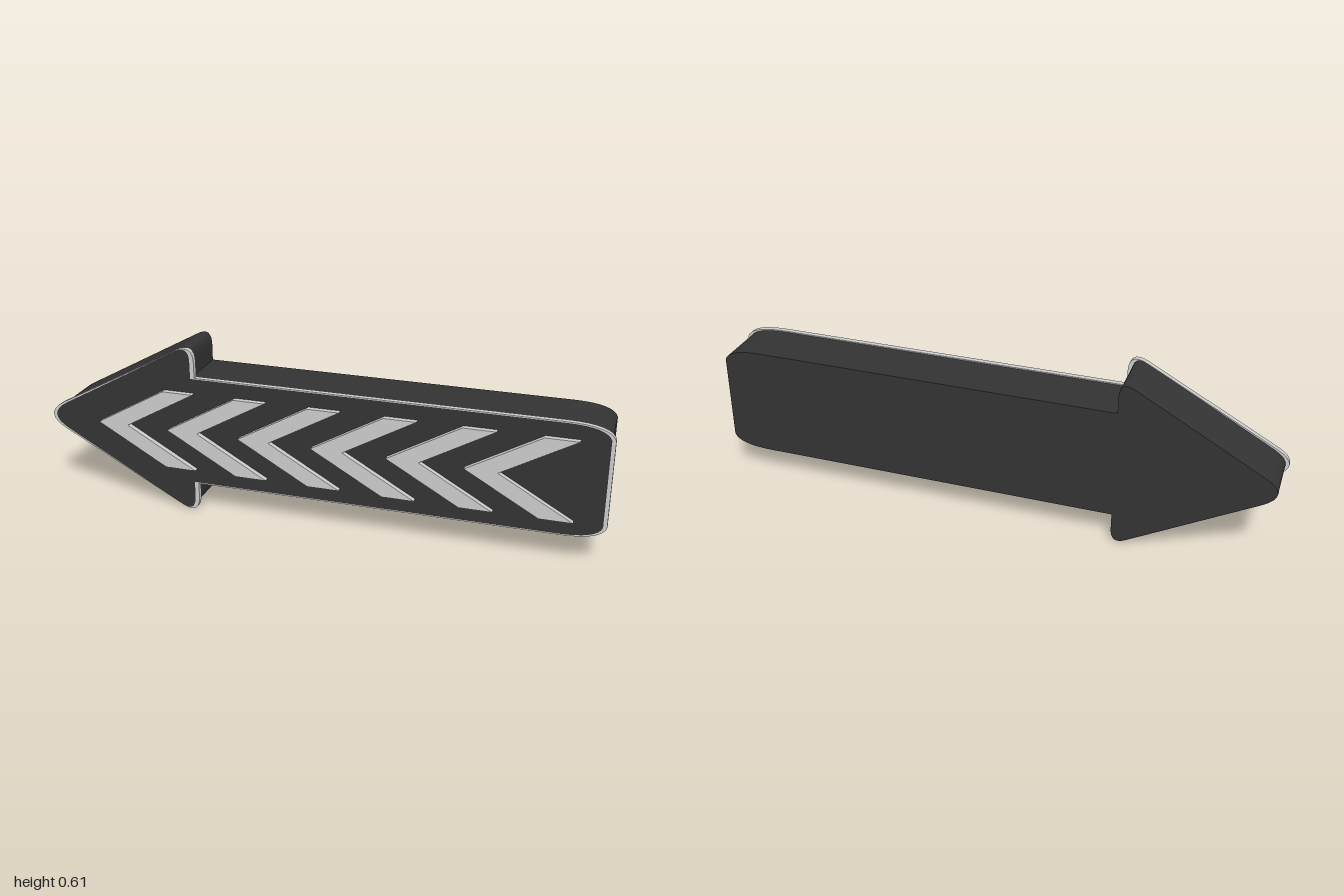
import * as THREE from 'three';

const MID = 0.305; // height of the arrow's axis

// Arrow outline pointing to -x, symmetric about its axis; ix and iy pull it inward
function outline(target, ix, iy) {
  const shaft = 0.202 - iy, end = 1 - ix, notch = -0.436 - ix * 1.15;
  const up = (y) => MID + y, dn = (y) => MID - y;
  const tipX = -0.955 + ix, tipY = 0.051;
  const headX = -0.5 - ix * 0.5, headY = 0.296 - iy;
  target.moveTo(tipX, up(tipY));
  target.quadraticCurveTo(-1.045 + ix, MID, tipX, dn(tipY));
  target.lineTo(headX, dn(headY));
  target.quadraticCurveTo(notch, dn(headY + 0.032), notch, dn(0.255));
  target.lineTo(notch, dn(shaft));
  target.lineTo(0.84, dn(shaft));
  target.quadraticCurveTo(end - 0.015, dn(shaft), end, dn(0.155));
  target.lineTo(end, up(0.155));
  target.quadraticCurveTo(end - 0.015, up(shaft), 0.84, up(shaft));
  target.lineTo(notch, up(shaft));
  target.lineTo(notch, up(0.255));
  target.quadraticCurveTo(notch, up(headY + 0.032), headX, up(headY));
  target.closePath();
  return target;
}

function extrude(name, shape, z0, z1, material) {
  const geometry = new THREE.ExtrudeGeometry(shape, {
    depth: z1 - z0, bevelEnabled: false, curveSegments: 8,
  });
  geometry.translate(0, 0, z0);
  const mesh = new THREE.Mesh(geometry, material);
  mesh.name = name;
  return mesh;
}

export function createModel() {
  const group = new THREE.Group();
  group.name = 'arrowSign';
  const dark = new THREE.MeshStandardMaterial({ color: 0x333333 });
  const grey = new THREE.MeshStandardMaterial({ color: 0xcccccc });

  // Solid sign body
  group.add(extrude('body', outline(new THREE.Shape(), 0.013, 0.004), -0.113, 0.094, dark));

  // Thin rim around the front edge
  const rim = outline(new THREE.Shape(), 0, 0);
  rim.holes.push(outline(new THREE.Path(), 0.013, 0.004));
  group.add(extrude('rim', rim, 0.075, 0.094, grey));

  // Row of raised chevrons
  const chevron = new THREE.Shape([
    [0, 0], [0.255, -0.145], [0.368, -0.145], [0.113, 0], [0.368, 0.145], [0.255, 0.145],
  ].map(([x, y]) => new THREE.Vector2(x, y)));
  for (let i = 0; i < 6; i++) {
    const mesh = extrude('chevron' + (i + 1), chevron, 0.09, 0.114, grey);
    mesh.position.set(-0.806 + i * 0.266, MID + 0.001, 0);
    group.add(mesh);
  }
  return group;
}
